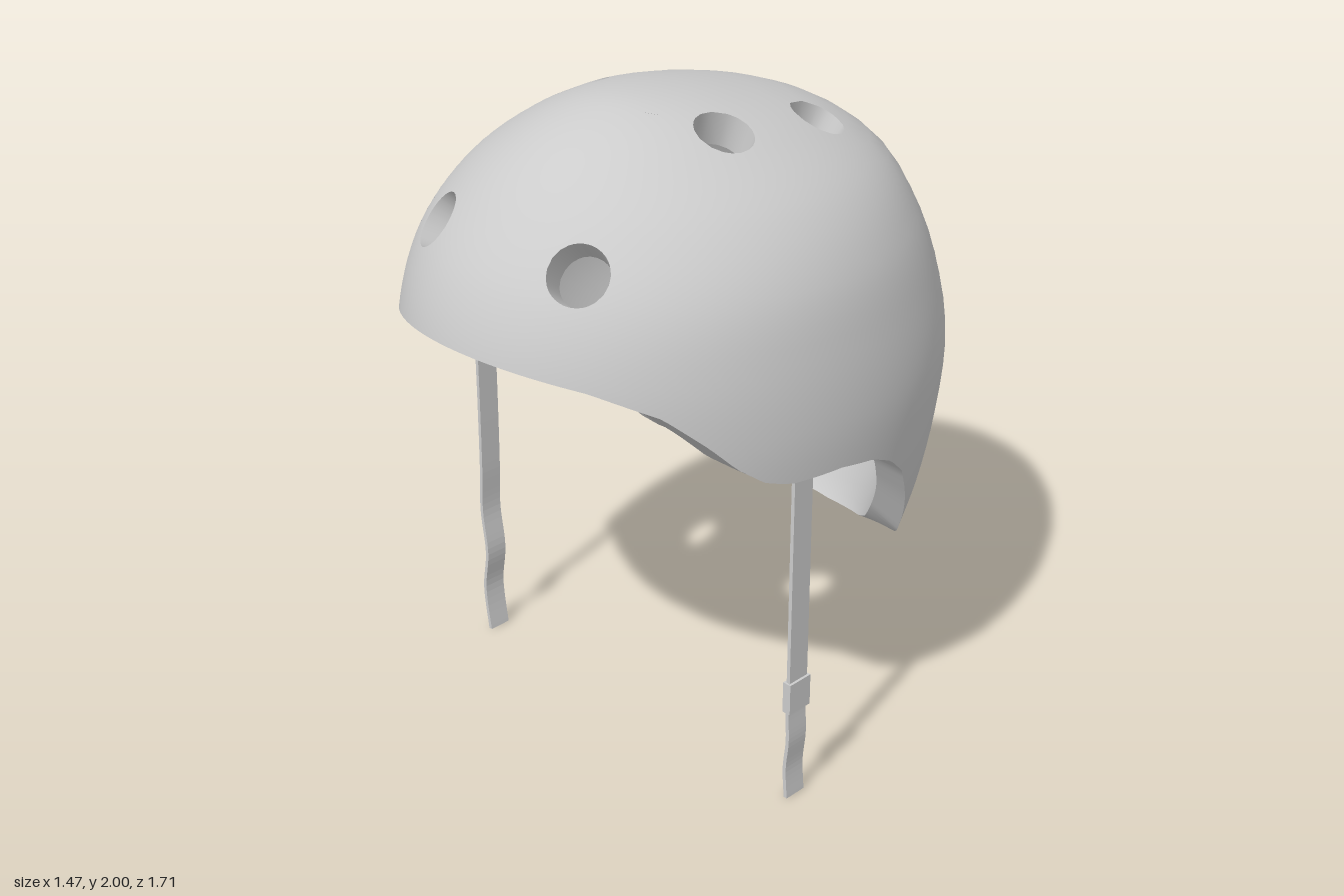
import * as THREE from 'three';
import { mergeVertices } from 'three/addons/utils/BufferGeometryUtils.js';

const N = 56;            // shell grid resolution
const THICK = 0.1;       // shell thickness
const HOLE_R = 0.087;    // vent radius
const V = (x, y, z) => new THREE.Vector3(x, y, z);
const material = new THREE.MeshStandardMaterial({ color: 0xcccccc });

// Half width, front z and back z of the shell, every 15 degrees down from the crown
const sections = [
  [-0.19, -0.1, 0.35], [0, 0.17, 0.17], [0.19, 0.35, -0.1], [0.375, 0.52, -0.41], [0.55, 0.67, -0.62],
  [0.66, 0.795, -0.73], [0.712, 0.862, -0.812], [0.735, 0.87, -0.853], [0.725, 0.84, -0.828],
  [0.70, 0.79, -0.775], [0.665, 0.72, -0.70], [0.64, 0.64, -0.632], [0.61, 0.58, -0.56], [0.58, 0.5, -0.48],
];
const sectionCurve = new THREE.CatmullRomCurve3(sections.map(s => V(...s)), false, 'catmullrom', 0.5);

// Rim height along the depth (z, y), back to front
const rimLine = [
  [-0.9, 0.47], [-0.63, 0.505], [-0.5, 0.53], [-0.42, 0.575], [-0.37, 0.62], [-0.33, 0.70], [-0.27, 0.82],
  [-0.2, 0.94], [-0.12, 1.01], [-0.03, 1.052], [0.1, 1.075], [0.27, 1.077], [0.35, 1.10], [0.43, 1.16],
  [0.5, 1.235], [0.6, 1.33], [0.73, 1.4], [0.86, 1.443], [1, 1.48],
];
function rimHeight(z) {
  let i = 1;
  while (i < rimLine.length - 1 && rimLine[i][0] < z) i++;
  const [z0, y0] = rimLine[i - 1], [z1, y1] = rimLine[i];
  return y0 + (y1 - y0) * (z - z0) / (z1 - z0);
}

// Outer surface over a plane p = angle from the crown * direction
function outer(p) {
  const phi = p.length(), a = Math.atan2(p.x, p.y);
  const s = sectionCurve.getPoint((phi * 12 / Math.PI + 1) / (sections.length - 1));
  return V(s.x * Math.sin(a), 1.2 + 0.8 * Math.cos(phi), (s.y + s.z) / 2 + (s.y - s.z) / 2 * Math.cos(a));
}
function tangents(p) {
  const e = 0.002, o = (x, y) => outer(new THREE.Vector2(p.x + x, p.y + y));
  return [o(e, 0).sub(o(-e, 0)).divideScalar(2 * e), o(0, e).sub(o(0, -e)).divideScalar(2 * e)];
}
function normal(p) {
  const [tx, tz] = tangents(p);
  return tz.cross(tx).normalize();
}
const inner = p => outer(p).addScaledVector(normal(p), -THICK);

// Nearest surface position to a point in space
function locate(target, start) {
  const p = start.clone();
  for (let k = 0; k < 8; k++) {
    const [u, v] = tangents(p), d = target.clone().sub(outer(p));
    const uu = u.dot(u), uv = u.dot(v), vv = v.dot(v), det = uu * vv - uv * uv;
    const du = u.dot(d), dv = v.dot(d);
    p.x += (du * vv - dv * uv) / det;
    p.y += (dv * uu - du * uv) / det;
  }
  return p;
}

// Square grid spread over the dome so that its border follows the rim
function makeGrid(surface) {
  const grid = [];
  for (let i = 0; i <= N; i++) {
    grid.push([]);
    for (let j = 0; j <= N; j++) {
      const s = 2 * i / N - 1, t = 2 * j / N - 1, p = new THREE.Vector2();
      if (Math.abs(t) >= Math.abs(s) && t !== 0) {
        const f = Math.PI / 4 * s / t;
        p.set(t * Math.sin(f), t * Math.cos(f));
      } else if (s !== 0) {
        const f = Math.PI / 4 * t / s;
        p.set(s * Math.cos(f), s * Math.sin(f));
      }
      if (p.length() > 0) {
        const dir = p.clone().normalize();
        let lo = 0.8, hi = 2.9;
        for (let k = 0; k < 22; k++) {
          const mid = (lo + hi) / 2, q = surface(dir.clone().multiplyScalar(mid));
          if (q.y > rimHeight(q.z)) lo = mid; else hi = mid;
        }
        p.multiplyScalar(lo);
      }
      grid[i].push(p);
    }
  }
  return grid;
}

// Grid indices around a rectangular block
function loopOf(i0, j0, i1, j1) {
  const out = [];
  for (let i = i0; i < i1; i++) out.push([i, j0]);
  for (let j = j0; j < j1; j++) out.push([i1, j]);
  for (let i = i1; i > i0; i--) out.push([i, j1]);
  for (let j = j1; j > j0; j--) out.push([i0, j]);
  return out;
}

// A vent: the block of cells it replaces and its round edge
function makeVent(centre, grid) {
  const pc = locate(centre, new THREE.Vector2(centre.x * 1.3, (centre.z - 0.15) * 1.3));
  const c = outer(pc), n = normal(pc);
  const e1 = tangents(pc)[0].normalize(), e2 = e1.clone().cross(n);
  let i0 = N, j0 = N, i1 = 0, j1 = 0;
  grid.forEach((col, i) => col.forEach((p, j) => {
    if (outer(p).distanceTo(c) > HOLE_R * 1.1) return;
    i0 = Math.min(i0, i - 1); i1 = Math.max(i1, i + 1);
    j0 = Math.min(j0, j - 1); j1 = Math.max(j1, j + 1);
  }));
  const loop = loopOf(i0, j0, i1, j1);
  const ring = loop.map(([i, j]) => {
    const d = outer(grid[i][j]).sub(c), a = Math.atan2(d.dot(e2), d.dot(e1));
    const edge = c.clone().addScaledVector(e1, HOLE_R * Math.cos(a)).addScaledVector(e2, HOLE_R * Math.sin(a));
    return locate(edge, pc);
  });
  return { loop, ring, covers: (i, j) => i >= i0 && i < i1 && j >= j0 && j < j1 };
}

// One skin of the shell, with the vents left open
function skin(grid, vents, surface, flip) {
  const pos = [], nor = [];
  const add = p => {
    pos.push(...surface(p).toArray());
    nor.push(...normal(p).multiplyScalar(flip ? -1 : 1).toArray());
  };
  const quad = (a, b, c, d) => (flip ? [a, c, d, a, b, c] : [a, d, c, a, c, b]).forEach(add);
  for (let i = 0; i < N; i++) for (let j = 0; j < N; j++) {
    if (vents.some(v => v.covers(i, j))) continue;
    quad(grid[i][j], grid[i + 1][j], grid[i + 1][j + 1], grid[i][j + 1]);
  }
  for (const { loop, ring } of vents) {
    const at = (k, f) => {
      const m = k % loop.length, [i, j] = loop[m];
      return grid[i][j].clone().lerp(ring[m], f);
    };
    for (let k = 0; k < loop.length; k++) for (const f of [0, 0.5]) {
      quad(at(k, f), at(k + 1, f), at(k + 1, f + 0.5), at(k, f + 0.5));
    }
  }
  const g = new THREE.BufferGeometry();
  g.setAttribute('position', new THREE.Float32BufferAttribute(pos, 3));
  g.setAttribute('normal', new THREE.Float32BufferAttribute(nor, 3));
  return mergeVertices(g);
}

// Closed band between two loops of points
function band(a, b) {
  const n = a.length, index = [];
  for (let k = 0; k < n; k++) {
    const m = (k + 1) % n;
    index.push(k, n + k, n + m, k, n + m, m);
  }
  const g = new THREE.BufferGeometry().setFromPoints([...a, ...b]);
  g.setIndex(index);
  g.computeVertexNormals();
  return g;
}

// Flat strap following (x, y) points
function strap(points) {
  const line = new THREE.SplineCurve(points.map(q => new THREE.Vector2(...q))).getPoints(40);
  const side = d => line.map(q => new THREE.Vector2(q.x + d, q.y));
  const shape = new THREE.Shape([...side(-0.006), ...side(0.006).reverse()]);
  return new THREE.ExtrudeGeometry(shape, { depth: 0.074, bevelEnabled: false }).translate(0, 0, 0.154);
}

export function createModel() {
  const model = new THREE.Group();
  const add = (name, geometry) => {
    const mesh = new THREE.Mesh(geometry, material);
    mesh.name = name;
    model.add(mesh);
    return mesh;
  };

  // Helmet shell
  const outGrid = makeGrid(outer), inGrid = makeGrid(inner);
  const vents = [];
  for (const s of [1, -1]) {
    for (const [x, y, z] of [[0.29, 1.69, 0.67], [0.28, 1.93, 0.115], [0.28, 1.88, -0.265]]) {
      vents.push(makeVent(V(s * x, y, z), outGrid));
    }
  }
  add('outerShell', skin(outGrid, vents, outer, false));
  add('innerShell', skin(inGrid, vents, inner, true));
  const border = loopOf(0, 0, N, N);
  add('rim', band(border.map(([i, j]) => inner(inGrid[i][j])), border.map(([i, j]) => outer(outGrid[i][j]))));
  for (const { ring } of vents) add('ventWall', band(ring.map(outer), ring.map(inner)));

  // Chin straps and buckle
  add('leftStrap', strap([[0.662, 1.1], [0.662, 0.75], [0.662, 0.4], [0.66, 0.3], [0.664, 0.2], [0.655, 0.1], [0.662, 0]]));
  add('rightStrap', strap([[-0.665, 1.1], [-0.665, 0.85], [-0.668, 0.6], [-0.674, 0.44], [-0.657, 0.29], [-0.674, 0.15], [-0.656, 0]]));
  add('buckle', new THREE.BoxGeometry(0.028, 0.1, 0.086)).position.set(0.662, 0.35, 0.191);
  return model;
}
